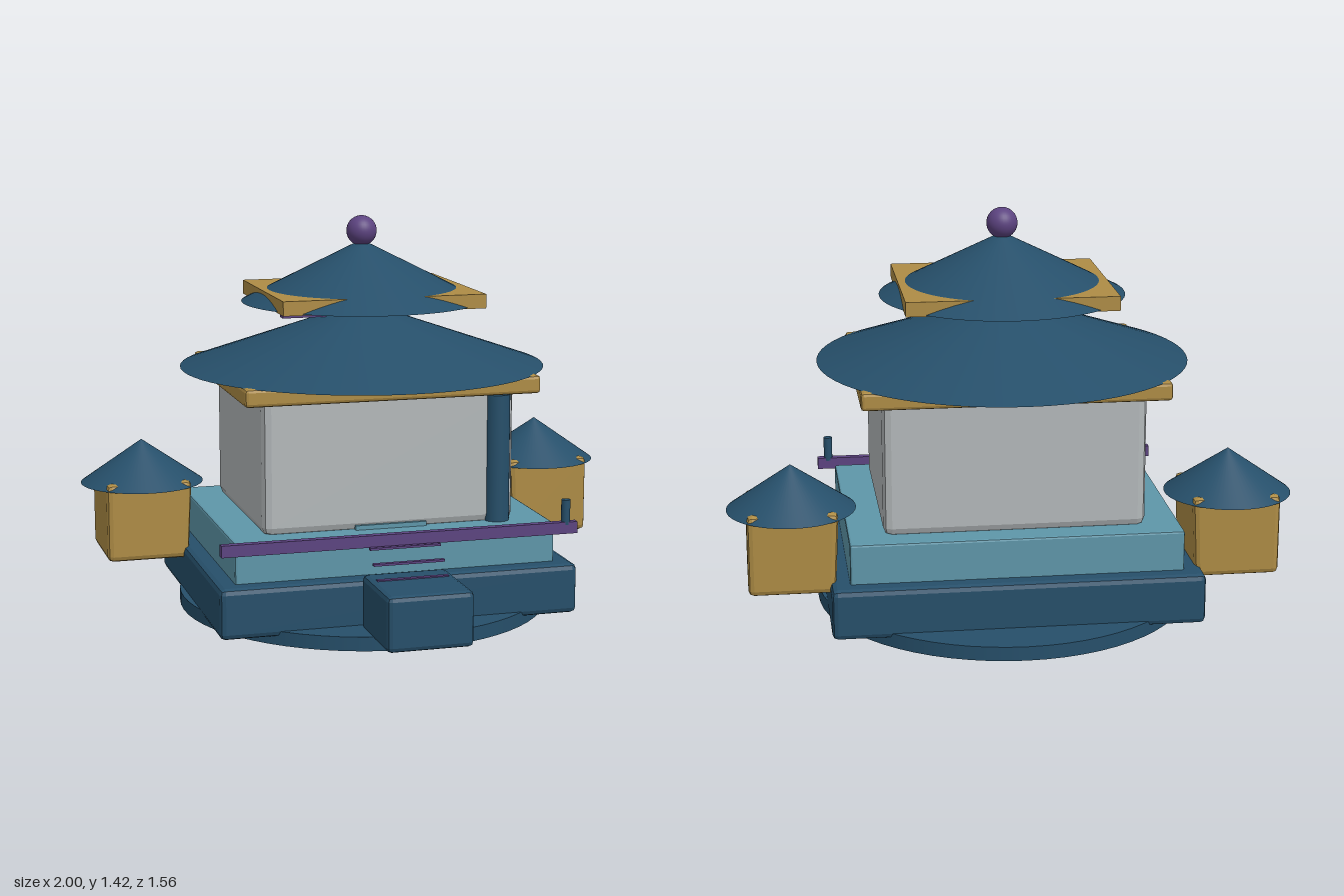
import * as THREE from 'three';
import { RoundedBoxGeometry } from 'three/addons/geometries/RoundedBoxGeometry.js';

const CZ = -0.08; // depth of the main axis

export function createModel() {
  const model = new THREE.Group();
  model.name = 'pagoda';

  const material = (name, color) => {
    const m = new THREE.MeshStandardMaterial({ color });
    m.name = name;
    return m;
  };
  const blue = material('dark blue', 0x264f6a);
  const gold = material('gold', 0xae8c45);
  const grey = material('wall grey', 0xb3b8ba);
  const teal = material('teal', 0x5e96a9);
  const purple = material('purple', 0x5c4380);

  const add = (name, geometry, mat, x, y, z, parent = model) => {
    const mesh = new THREE.Mesh(geometry, mat);
    mesh.name = name;
    mesh.position.set(x, y, z);
    parent.add(mesh);
    return mesh;
  };

  // Box given by its extents, with optional chamfered edges
  const box = (name, mat, [x0, x1], [y0, y1], [z0, z1], bevel = 0, parent = model) => {
    const w = x1 - x0, h = y1 - y0, d = z1 - z0;
    const g = bevel ? new RoundedBoxGeometry(w, h, d, 1, bevel) : new THREE.BoxGeometry(w, h, d);
    if (bevel) g.computeVertexNormals();
    return add(name, g, mat, (x0 + x1) / 2, (y0 + y1) / 2, (z0 + z1) / 2, parent);
  };

  // Conical roof from its eave to its tip
  const roof = (name, r, y0, y1, x, z, parent = model) =>
    add(name, new THREE.ConeGeometry(r, y1 - y0, 64), blue, x, (y0 + y1) / 2, z, parent);

  // Ground disc and stepped platform
  const disc = add('groundDisc', new THREE.CylinderGeometry(0.7, 0.7, 0.05, 64), blue, 0, 0.025, CZ);
  disc.scale.x = 0.963;
  box('lowerPlatform', blue, [-0.65, 0.65], [0.03, 0.21], [-0.605, 0.45], 0.02);
  box('upperPlatform', teal, [-0.583, 0.583], [0.19, 0.352], [-0.54, 0.384], 0.008);

  // Hall with its single front column and door sill
  box('hallWalls', grey, [-0.46, 0.46], [0.345, 0.84], [-0.455, 0.295], 0.03);
  add('frontColumn', new THREE.CylinderGeometry(0.046, 0.046, 0.46, 24), blue, 0.4, 0.58, 0.279);
  box('doorSill', teal, [-0.13, 0.13], [0.35, 0.368], [0.27, 0.305]);

  // Main roof
  box('eaveSlab', gold, [-0.535, 0.535], [0.818, 0.882], [-0.52, 0.36], 0.012);
  roof('mainRoof', 0.662, 0.88, 1.11, 0, CZ);
  box('ridgeBeam', purple, [-0.3, 0.3], [1.06, 1.1], [-0.1, -0.06]);

  // Upper roof with the corner plate and finial
  box('cornerPlate', gold, [-0.37, 0.37], [1.111, 1.162], [-0.395, 0.235]);
  roof('upperRoof', 0.437, 1.115, 1.335, 0, CZ);
  add('finial', new THREE.SphereGeometry(0.055, 32, 20), purple, 0, 1.367, CZ);

  // Front stair block and thin treads
  box('stairBlock', blue, [-0.153, 0.153], [0.04, 0.235], [0.457, 0.778], 0.018);
  for (let i = 0; i < 3; i++) {
    const y = 0.235 + i * 0.045, z = 0.562 - i * 0.046;
    box('stairTread', purple, [-0.128, 0.128], [y - 0.004, y + 0.004], [z - 0.009, z + 0.009]);
  }

  // Front railing and its post
  box('railing', purple, [-0.645, 0.645], [0.325, 0.367], [0.425, 0.453]);
  add('railingPost', new THREE.CylinderGeometry(0.016, 0.016, 0.09, 16), blue, 0.605, 0.402, 0.438);

  // Side lanterns, the body narrowing slightly towards the bottom
  for (const side of [-1, 1]) {
    const lantern = new THREE.Group();
    lantern.name = side > 0 ? 'leftLantern' : 'rightLantern';
    lantern.position.set(side * 0.773, 0, -0.345);
    model.add(lantern);
    const body = box('lanternBody', gold, [-0.157, 0.157], [0.167, 0.456], [-0.167, 0.167], 0.02, lantern);
    const p = body.geometry.attributes.position;
    for (let i = 0; i < p.count; i++) {
      const low = 0.5 - p.getY(i) / 0.289;
      if (p.getX(i) * side < 0) p.setX(i, p.getX(i) * (1 - 0.09 * low));
      p.setZ(i, p.getZ(i) * (1 - 0.02 * low));
    }
    body.geometry.computeVertexNormals();
    roof('lanternRoof', 0.225, 0.432, 0.59, 0, 0, lantern);
  }

  return model;
}
